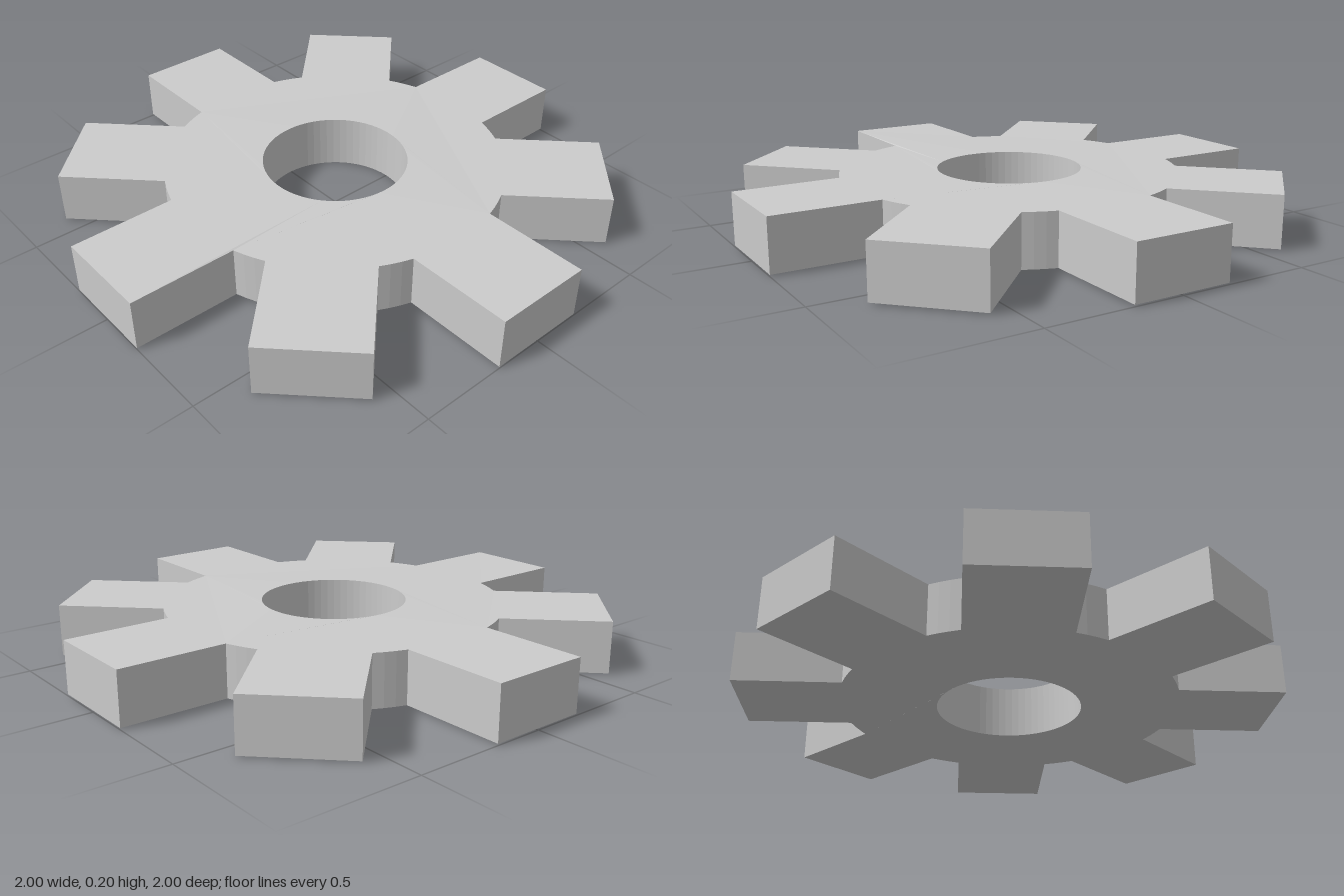
import * as THREE from 'three';

const TEETH = 8, TIP = 1, HALF_WIDTH = 0.185, ROOT = 0.633, BORE = 0.27;
const BOTTOM = 0.006, TOP = 0.198, CROWN = 0.005; // faces rise slightly towards the bore

// Outline: straight-sided teeth joined by short arcs of the hub circle
function gearShape() {
  const points = [];
  const pitch = (Math.PI * 2) / TEETH;
  const rootAngle = Math.asin(HALF_WIDTH / ROOT);
  const tipRadius = Math.hypot(TIP, HALF_WIDTH);
  const tipAngle = Math.atan2(HALF_WIDTH, TIP);
  const add = (r, a) => points.push(new THREE.Vector2(r * Math.cos(a), r * Math.sin(a)));
  for (let i = 0; i < TEETH; i++) {
    const a = i * pitch;
    add(tipRadius, a - tipAngle);
    add(tipRadius, a + tipAngle);
    for (let j = 0; j <= 3; j++) {
      add(ROOT, a + rootAngle + (j / 3) * (pitch - 2 * rootAngle));
    }
  }
  const shape = new THREE.Shape(points);
  shape.holes.push(new THREE.Path().absarc(0, 0, BORE, 0, Math.PI * 2, true));
  return shape;
}

export function createModel() {
  const geometry = new THREE.ExtrudeGeometry(gearShape(), {
    depth: TOP - BOTTOM, bevelEnabled: false, curveSegments: 32,
  });
  geometry.rotateX(-Math.PI / 2);
  geometry.translate(0, BOTTOM, 0);

  // Thicken the plate a little at the bore
  const pos = geometry.attributes.position;
  for (let i = 0; i < pos.count; i++) {
    if (Math.hypot(pos.getX(i), pos.getZ(i)) < BORE + 0.05) {
      pos.setY(i, pos.getY(i) > 0.1 ? TOP + CROWN : 0);
    }
  }
  geometry.computeVertexNormals();

  const gear = new THREE.Mesh(
    geometry,
    new THREE.MeshStandardMaterial({ color: 0xcccccc, flatShading: true })
  );
  gear.name = 'gearWheel';
  const group = new THREE.Group();
  group.name = 'gear';
  group.add(gear);
  return group;
}
